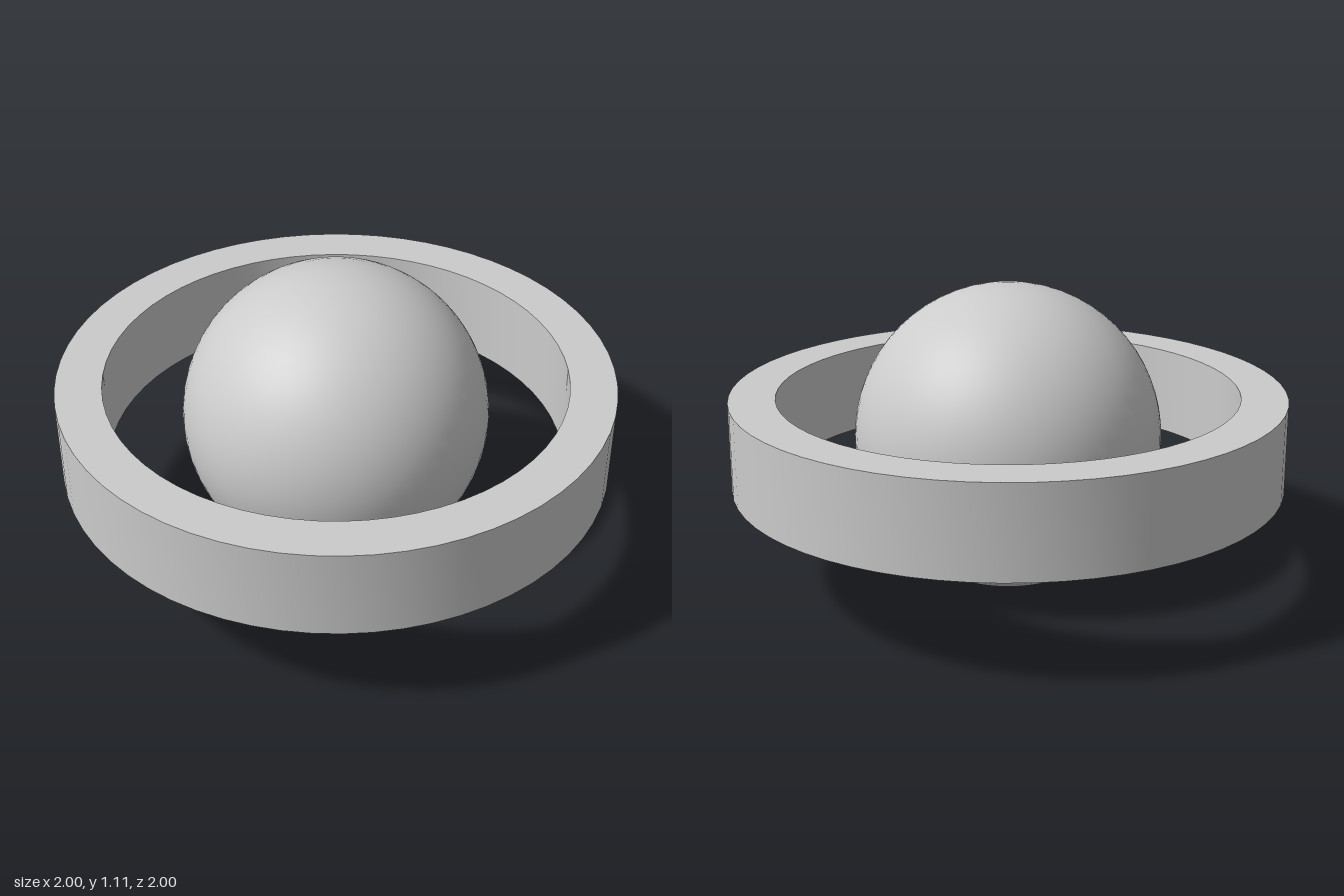
import * as THREE from 'three';
import { toCreasedNormals } from 'three/addons/utils/BufferGeometryUtils.js';

const RADIUS = 0.555; // globe radius, resting on y = 0
const RING = { inner: 0.833, outer: 1, bottom: 0.395, top: 0.722 };

export function createModel() {
  const group = new THREE.Group();
  const material = new THREE.MeshStandardMaterial({ color: 0xcccccc });

  // Smooth central globe
  const globe = new THREE.Mesh(new THREE.SphereGeometry(RADIUS, 64, 32), material);
  globe.name = 'globe';
  globe.position.y = RADIUS;
  group.add(globe);

  // Free-floating band: a rectangular section swept around the globe, with sharp rims
  const { inner, outer, bottom, top } = RING;
  const section = [
    [outer, bottom], [outer, top], [inner, top], [inner, bottom], [outer, bottom],
  ].map(([r, y]) => new THREE.Vector2(r, y));
  const ring = new THREE.Mesh(
    toCreasedNormals(new THREE.LatheGeometry(section, 64), Math.PI / 6),
    material,
  );
  ring.name = 'ring';
  group.add(ring);

  return group;
}
